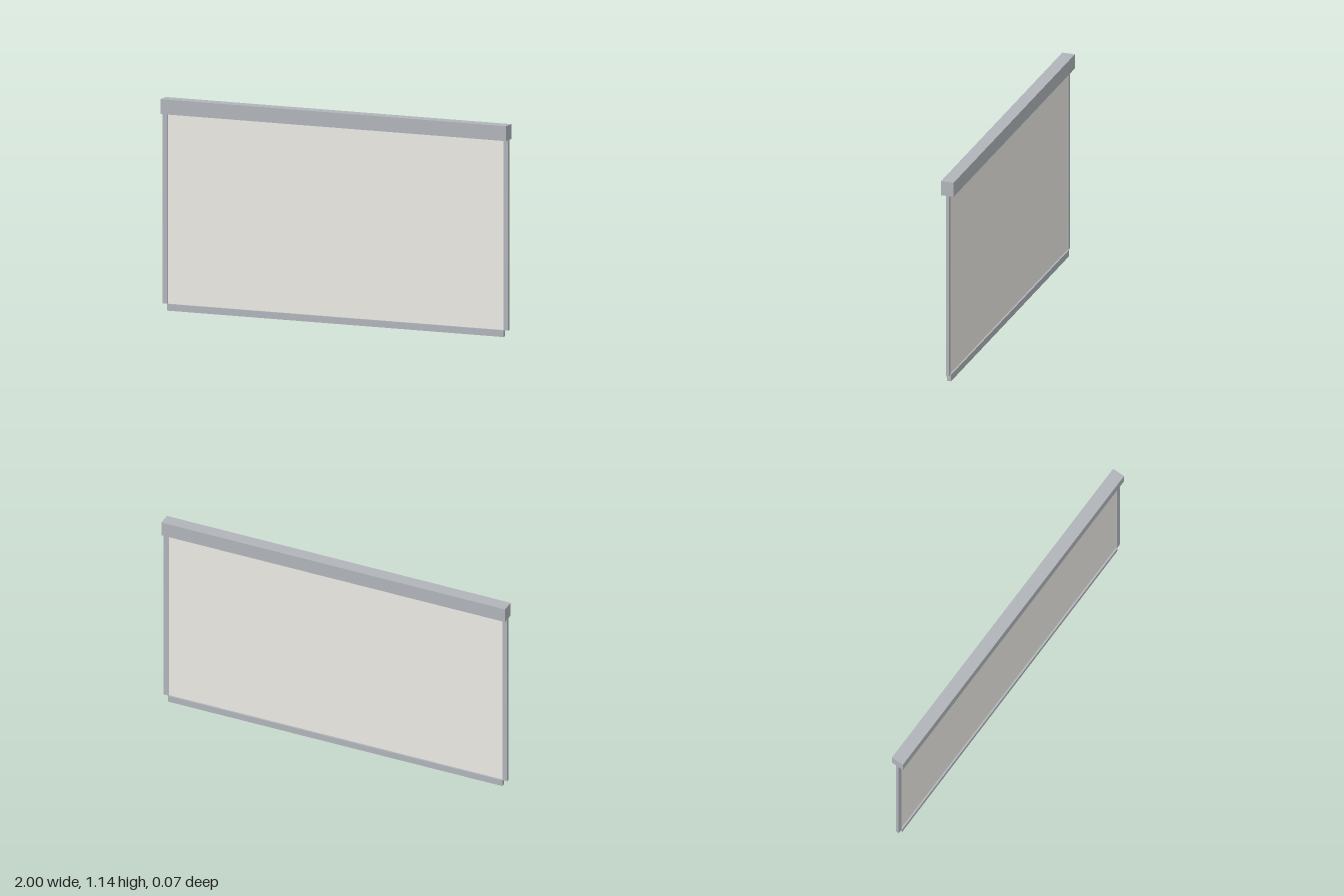
import * as THREE from 'three';

const metal = new THREE.MeshStandardMaterial({ color: 0xb0b5b9 });
const fabric = new THREE.MeshStandardMaterial({ color: 0xebe9e3 });

// Box given by its width, bottom, top and depth, centred on z = 0
function slab(name, material, x, width, bottom, top, depth) {
  const mesh = new THREE.Mesh(new THREE.BoxGeometry(width, top - bottom, depth), material);
  mesh.name = name;
  mesh.position.set(x, (bottom + top) / 2, 0);
  return mesh;
}

export function createModel() {
  const group = new THREE.Group();
  group.name = 'rollerScreen';

  const barTop = 0.036, headBottom = 1.057, headTop = 1.137;
  const railWidth = 0.027;
  const innerWidth = 2 - 2 * railWidth;

  // Housing for the rolled fabric
  group.add(slab('headBox', metal, 0, 2, headBottom, headTop, 0.071));

  // Guide rails at both sides
  for (const [name, side] of [['leftRail', 1], ['rightRail', -1]]) {
    group.add(slab(name, metal, side * (1 - railWidth / 2), railWidth, barTop, headBottom, 0.016));
  }

  // Thin hanging fabric and its weighted bottom bar
  group.add(slab('fabricPanel', fabric, 0, innerWidth, barTop, headBottom, 0.003));
  group.add(slab('bottomBar', metal, 0, innerWidth, 0, barTop, 0.022));

  return group;
}
